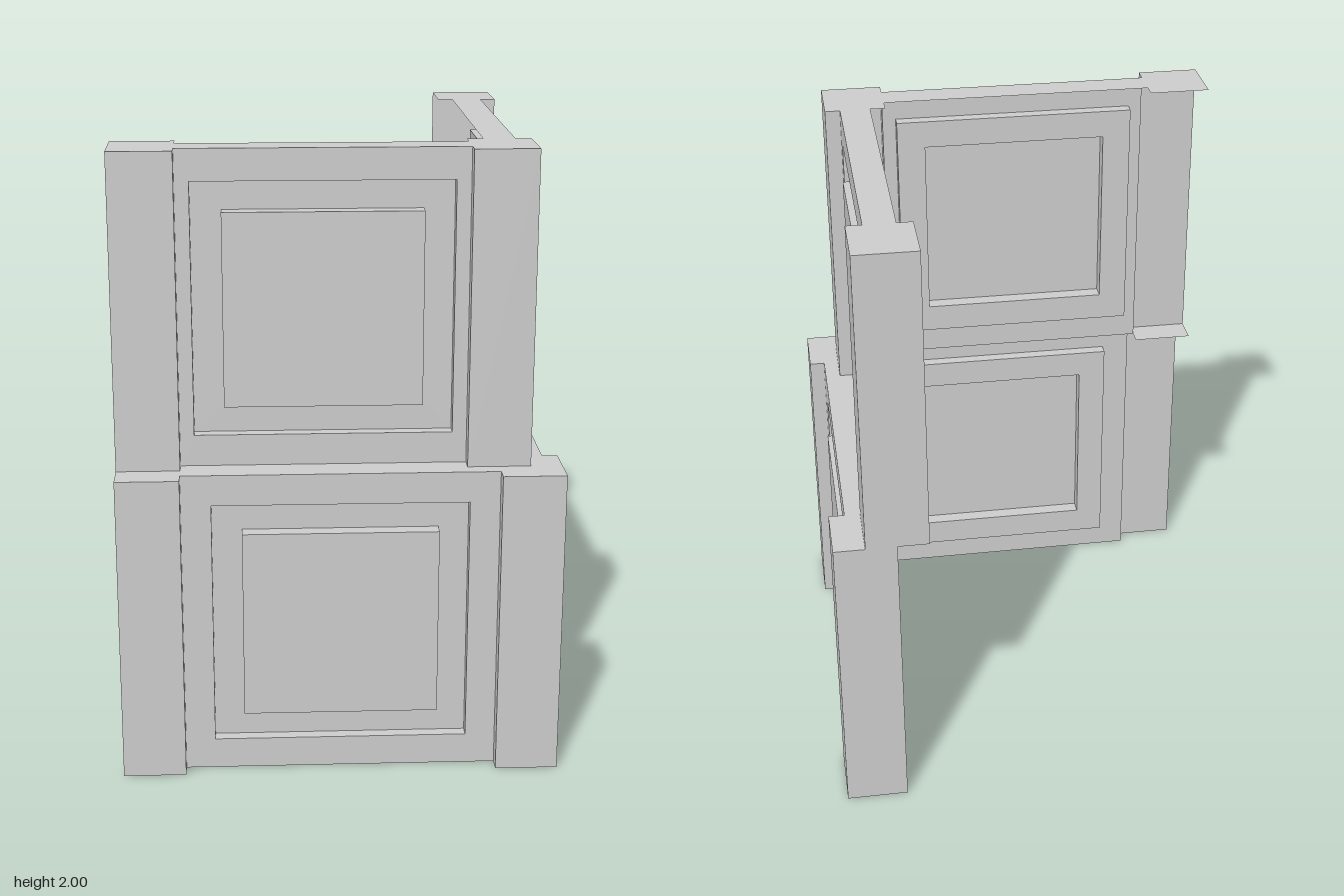
import * as THREE from 'three';

const material = new THREE.MeshStandardMaterial({ color: 0xcccccc, flatShading: true, side: THREE.DoubleSide });
const POST = 0.2, STEP = 0.05, END = -0.7;

function addMesh(parent, name, geometry) {
  const mesh = new THREE.Mesh(geometry, material);
  mesh.name = name;
  parent.add(mesh);
  return mesh;
}

// Flat-shaded geometry from four-cornered faces
function fromQuads(quads) {
  const positions = quads.flatMap(([a, b, c, d]) => [a, b, c, a, c, d].flat());
  const geometry = new THREE.BufferGeometry();
  geometry.setAttribute('position', new THREE.Float32BufferAttribute(positions, 3));
  geometry.computeVertexNormals();
  return geometry;
}

// Upright rectangle loop, counter-clockwise from the front
const rectLoop = (halfW, inset, z) => [
  [-halfW, inset, z], [halfW, inset, z], [halfW, 1 - inset, z], [-halfW, 1 - inset, z],
];

// Wall face with a sunk frame and a raised centre panel
function panelGeometry(halfW) {
  const loops = [
    rectLoop(halfW, 0, -STEP),
    rectLoop(0.405, 0.1, -STEP),
    rectLoop(0.405, 0.1, -0.09),
    rectLoop(0.31, 0.193, -0.09),
    rectLoop(0.31, 0.193, -0.04),
  ];
  const quads = [loops[loops.length - 1]];
  for (let k = 0; k + 1 < loops.length; k++) {
    for (let i = 0; i < 4; i++) {
      const j = (i + 1) % 4;
      quads.push([loops[k][i], loops[k][j], loops[k + 1][j], loops[k + 1][i]]);
    }
  }
  return fromQuads(quads);
}

// Post front and its short return to the wall; side is -1 or 1
function postGeometry(halfW, side) {
  let plan = [[-halfW, 0], [-halfW + POST, 0], [-halfW + POST, -STEP]];
  if (side > 0) plan = plan.map(([x, z]) => [-x, z]).reverse();
  const quads = [0, 1].map((i) => {
    const [a, b] = [plan[i], plan[i + 1]];
    return [[a[0], 0, a[1]], [b[0], 0, b[1]], [b[0], 1, b[1]], [a[0], 1, a[1]]];
  });
  return fromQuads(quads);
}

function createWall(name, width) {
  const wall = new THREE.Group();
  wall.name = name;
  addMesh(wall, 'panelledFace', panelGeometry(width / 2 - POST));
  addMesh(wall, 'rightPost', postGeometry(width / 2, -1));
  addMesh(wall, 'leftPost', postGeometry(width / 2, 1));
  return wall;
}

// L-shaped top cap, mirrored about its diagonal
function capGeometry(e) {
  const inner = e - POST, endPost = END + POST;
  const half = [
    [inner, e], [inner, e - STEP], [endPost, e - STEP], [endPost, e], [END, e],
    [END, inner], [endPost, inner], [endPost, inner + STEP], [inner, inner + STEP],
  ];
  const mirrored = half.map(([x, z]) => [z, x]).reverse();
  const plan = [[e, e], ...half, [inner, inner], ...mirrored];
  const shape = new THREE.Shape(plan.map(([x, z]) => new THREE.Vector2(x, -z)));
  return new THREE.ShapeGeometry(shape).rotateX(-Math.PI / 2);
}

// One storey: two walls meeting at a corner (e, e), open at the back and below
function createStorey(name, e) {
  const storey = new THREE.Group();
  storey.name = name;
  const width = e - END, middle = (e + END) / 2;

  const front = createWall('frontWall', width);
  front.position.set(middle, 0, e);
  const side = createWall('sideWall', width);
  side.position.set(e, 0, middle);
  side.rotation.y = Math.PI / 2;
  storey.add(front, side);

  addMesh(storey, 'topCap', capGeometry(e)).position.y = 1;

  // Closed back end of the side wall's last post
  const end = addMesh(storey, 'postEnd', new THREE.PlaneGeometry(POST, 1));
  end.rotation.y = Math.PI;
  end.position.set(e - POST / 2, 0.5, END);
  return storey;
}

export function createModel() {
  const model = new THREE.Group();
  model.name = 'panelledCornerWall';
  const lower = createStorey('lowerStorey', 0.7);
  const upper = createStorey('upperStorey', 0.6);
  upper.position.y = 1;
  model.add(lower, upper);
  return model;
}
